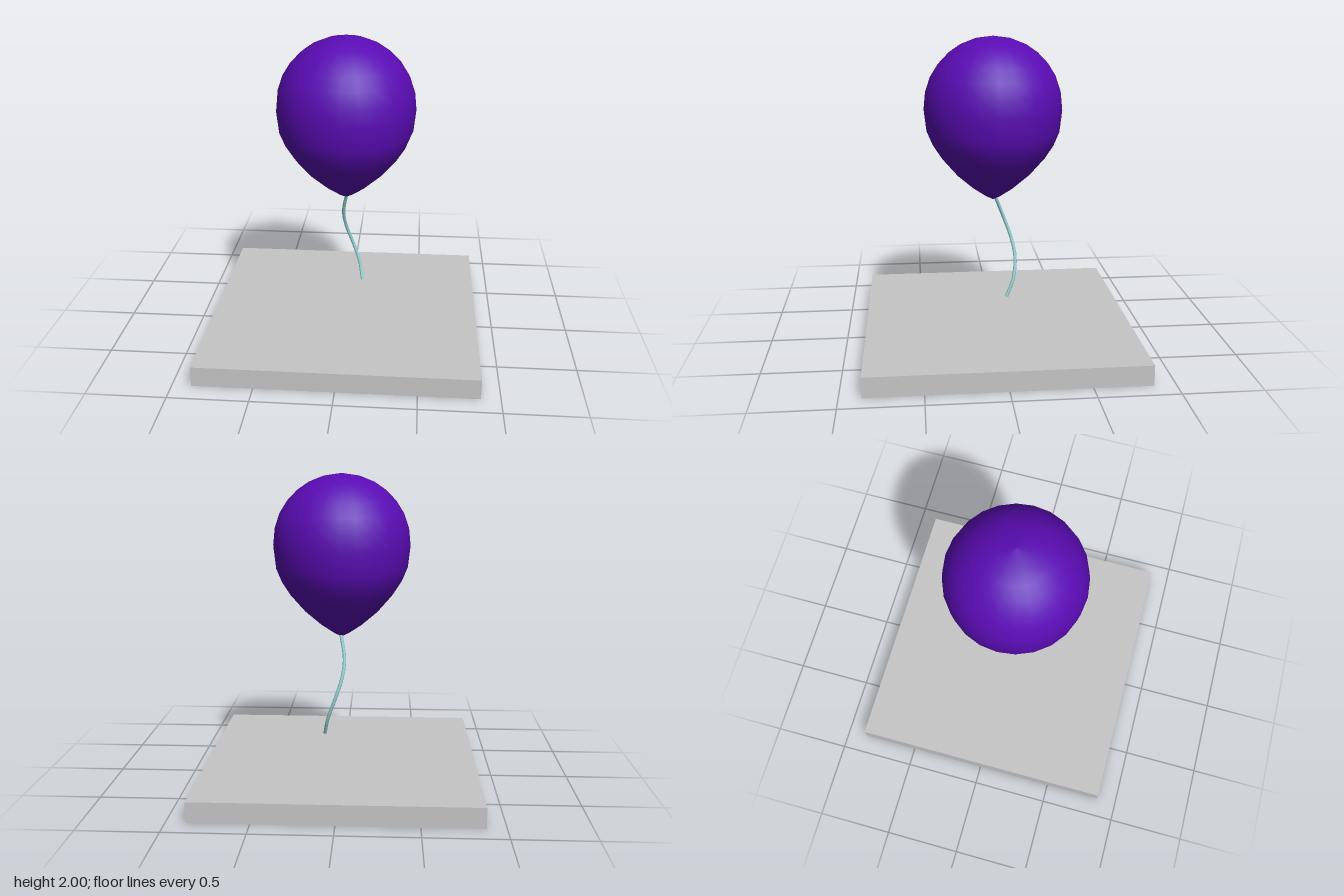
import * as THREE from 'three';

export function createModel() {
  const model = new THREE.Group();
  const purple = new THREE.MeshStandardMaterial({ name: 'purple rubber', color: 0x5a0cb4 });
  const teal = new THREE.MeshStandardMaterial({ name: 'pale teal string', color: 0x93cfcf });
  const grey = new THREE.MeshStandardMaterial({ name: 'light grey slab', color: 0xc6c6c6 });

  const add = (name, geometry, material, x = 0, y = 0, z = 0) => {
    const mesh = new THREE.Mesh(geometry, material);
    mesh.name = name;
    mesh.position.set(x, y, z);
    model.add(mesh);
  };

  // Square base slab
  add('baseSlab', new THREE.BoxGeometry(1.76, 0.13, 1.73), grey, 0, 0.065, 0);

  // Teardrop balloon, turned from the knot up to the crown
  const profile = [
    [0, 0.94], [0.05, 0.966], [0.135, 1.024], [0.24, 1.115], [0.335, 1.225],
    [0.39, 1.31], [0.427, 1.4], [0.443, 1.54], [0.432, 1.65], [0.4, 1.745],
    [0.35, 1.825], [0.285, 1.893], [0.21, 1.945], [0.115, 1.983], [0, 2],
  ].map(([r, y]) => new THREE.Vector2(r, y));
  add('balloon', new THREE.LatheGeometry(profile, 24), purple, 0.003, 0, 0.02);

  // Curling string with capped lower end
  const points = [
    [0.006, 0.955, 0.004], [-0.019, 0.8, -0.055], [-0.003, 0.68, -0.098],
    [0.04, 0.55, -0.122], [0.087, 0.415, -0.105], [0.11, 0.3, -0.058],
  ].map((p) => new THREE.Vector3(...p));
  const path = new THREE.CatmullRomCurve3(points);
  add('string', new THREE.TubeGeometry(path, 32, 0.011, 8), teal);

  const cap = new THREE.CircleGeometry(0.011, 8);
  cap.applyQuaternion(new THREE.Quaternion().setFromUnitVectors(
    new THREE.Vector3(0, 0, 1), path.getTangent(1)));
  add('stringEnd', cap, teal, ...points[5].toArray());

  return model;
}
